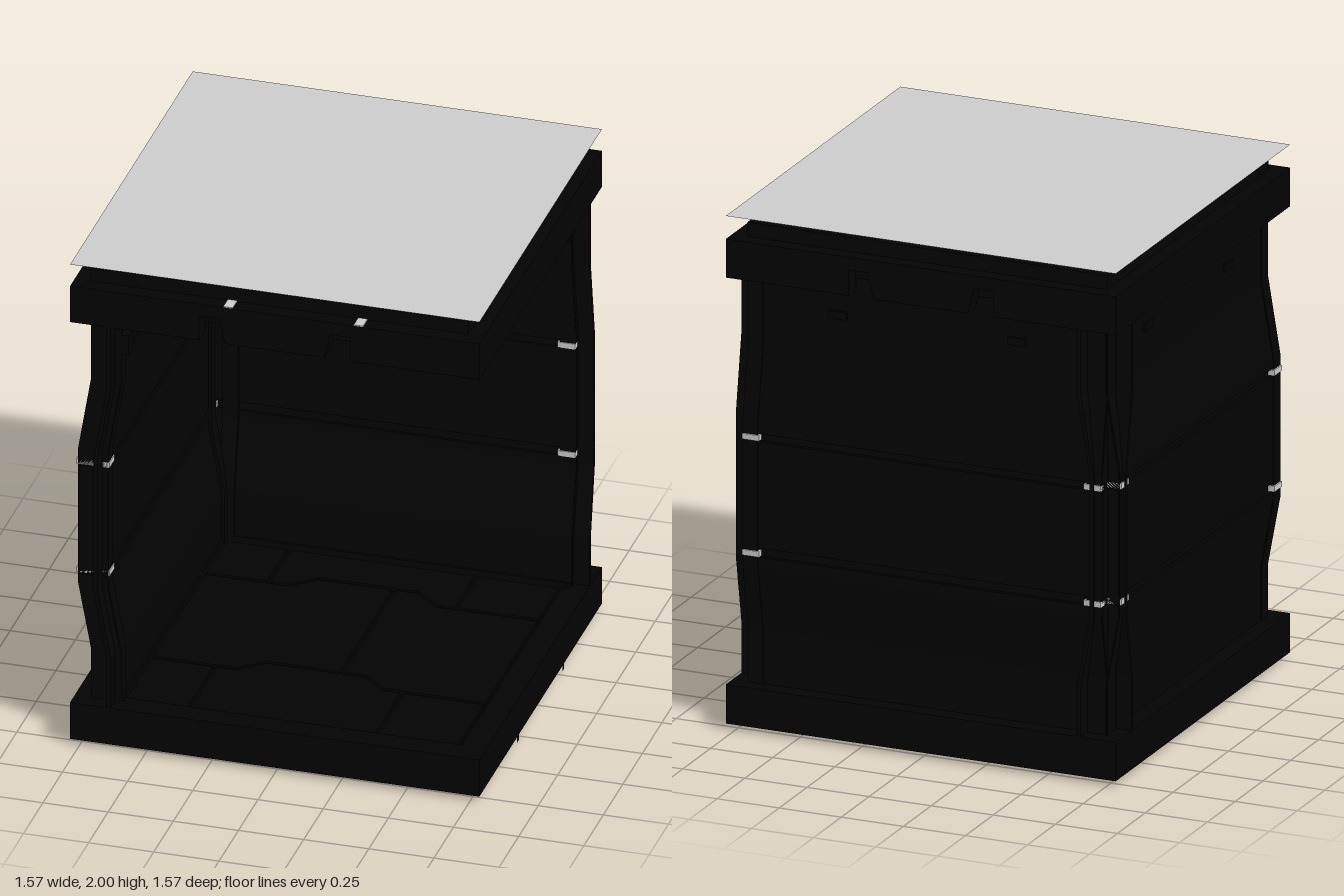
import * as THREE from 'three';

const dark = new THREE.MeshStandardMaterial({ color: 0x030303, flatShading: true });
const darkThin = new THREE.MeshStandardMaterial({ color: 0x030303, side: THREE.DoubleSide });
const grey = new THREE.MeshStandardMaterial({ color: 0xcccccc });
const greyThin = new THREE.MeshStandardMaterial({ color: 0xcccccc, side: THREE.DoubleSide });

function add(parent, name, geo, mat = dark) {
  const m = new THREE.Mesh(geo, mat);
  m.name = name;
  parent.add(m);
  return m;
}

// Box given by its min and max on each axis
function box(parent, name, [x0, x1], [y0, y1], [z0, z1], mat = dark) {
  const m = add(parent, name, new THREE.BoxGeometry(x1 - x0, y1 - y0, z1 - z0), mat);
  m.position.set((x0 + x1) / 2, (y0 + y1) / 2, (z0 + z1) / 2);
}

const outline = points => new THREE.Shape(points.map(p => new THREE.Vector2(...p)));
const extrude = (points, depth) =>
  new THREE.ExtrudeGeometry(outline(points), { depth, bevelEnabled: false });

// Bulge of the wall at height y, 0 at the ends and 0.05 in the middle
function bulge(y) {
  const t = y < 0.9 ? (y - 0.38) / 0.27 : (1.5 - y) / 0.3;
  return 0.05 * THREE.MathUtils.clamp(t, 0, 1);
}

const fullHeight = [0.1, 0.38, 0.65, 1.2, 1.5, 1.83];

// Upright slab following the bulge, from depth near to far, running along x
function slab(parent, name, x0, x1, near, far, heights = fullHeight) {
  const geo = extrude([
    ...heights.map(y => [far + bulge(y), y]),
    ...[...heights].reverse().map(y => [near + bulge(y), y]),
  ], x1 - x0);
  geo.rotateY(Math.PI / 2); // profile x becomes -z, extrusion becomes +x
  geo.translate(x0, 0, 0);
  add(parent, name, geo);
}

// Wall along x at the back; cornerSide is the end that meets the other wall
function makeWall(cornerSide) {
  const wall = new THREE.Group();
  // core that reaches past the panels at both ends
  slab(wall, 'wallCore', -0.785, 0.785, 0.63, 0.645);
  slab(wall, 'wallBody', -0.715, 0.715, 0.62, 0.705);
  // three panels with grooves between them
  slab(wall, 'lowerPanel', -0.725, 0.725, 0.61, 0.72, [0.15, 0.38, 0.65, 0.685]);
  slab(wall, 'middlePanel', -0.725, 0.725, 0.61, 0.72, [0.72, 1.135]);
  slab(wall, 'upperPanel', -0.725, 0.725, 0.61, 0.72, [1.165, 1.2, 1.5, 1.83]);
  // inner corner post
  const c = cornerSide * 0.6;
  slab(wall, 'cornerPost', c - 0.03, c + 0.03, 0.598, 0.63);
  for (const s of [-1, 1]) {
    // upright edge frames
    slab(wall, 'edgePost', s * 0.692 - 0.03, s * 0.692 + 0.03, 0.607, 0.724);
    // pale clips through the grooves
    for (const y of [0.698, 1.15]) {
      box(wall, 'grooveClip', [s * 0.688 - 0.034, s * 0.688 + 0.034], [y - 0.011, y + 0.011], [-0.78, -0.653], grey);
    }
    // rail brackets, inside and outside
    const x = s * 0.36;
    box(wall, 'railBracket', [x - 0.036, x + 0.036], [1.62, 1.7], [-0.62, -0.575]);
    box(wall, 'railEnd', [s * 0.69 - 0.03, s * 0.69 + 0.03], [1.62, 1.7], [-0.62, -0.58]);
    box(wall, 'outerBracket', [x - 0.036, x + 0.036], [1.64, 1.67], [-0.73, -0.71]);
  }
  // twin rails near the top
  for (const y of [1.635, 1.68]) box(wall, 'rail', [-0.7, 0.7], [y - 0.01, y + 0.01], [-0.605, -0.585]);
  // skirting strip
  box(wall, 'skirting', [-0.72, 0.72], [0.15, 0.19], [-0.72, -0.6]);
  return wall;
}

// Square frame lying flat, from y0 up to y1
function frame(parent, name, outer, inner, y0, y1) {
  const square = r => [[-r, -r], [r, -r], [r, r], [-r, r]];
  const shape = outline(square(outer));
  shape.holes.push(outline(square(inner)));
  const geo = new THREE.ExtrudeGeometry(shape, { depth: y1 - y0, bevelEnabled: false });
  geo.rotateX(-Math.PI / 2);
  geo.translate(0, y0, 0);
  add(parent, name, geo);
}

function makeFloor() {
  const floor = new THREE.Group();
  frame(floor, 'floorFrame', 0.785, 0.69, 0.023, 0.175);
  box(floor, 'floorSlab', [-0.7, 0.7], [0.06, 0.15], [-0.7, 0.7]);
  // tiles split by stepped seams; rows run from front to back
  const gap = 0.008;
  const rows = [-0.68, -0.34, 0.34, 0.68];
  const columns = [[-0.68, -0.36, 0.36, 0.68], [-0.68, 0.1, 0.68], [-0.68, -0.36, 0.36, 0.68]];
  const seam = (row, x) => rows[row] + (row % 3 && Math.abs(x) < 0.2 ? 0.08 : 0);
  columns.forEach((cuts, r) => {
    for (let i = 0; i < cuts.length - 1; i++) {
      const a = cuts[i] + gap, b = cuts[i + 1] - gap;
      const xs = [a, -0.28, -0.19, 0.19, 0.28, b].filter(x => x >= a && x <= b);
      const geo = extrude([
        ...xs.map(x => [x, seam(r, x) + gap]),
        ...[...xs].reverse().map(x => [x, seam(r + 1, x) - gap]),
      ], 0.015);
      geo.rotateX(-Math.PI / 2);
      geo.translate(0, 0.15, 0);
      add(floor, 'floorTile', geo);
    }
  });
  // paper-thin pegs below the open side
  for (const z of [-0.29, 0.29]) {
    const peg = add(floor, 'peg', new THREE.PlaneGeometry(0.02, 0.17), darkThin);
    peg.rotation.y = Math.PI / 2;
    peg.position.set(0.785, 0.085, z);
  }
  return floor;
}

function makeCeiling() {
  const ceiling = new THREE.Group();
  box(ceiling, 'ceilingSlab', [-0.725, 0.725], [1.81, 1.965], [-0.725, 0.725]);
  // front and back lips, notched from below
  const half = [[0.19, 1.76], [0.215, 1.86], [0.29, 1.86], [0.29, 1.76], [0.785, 1.76], [0.785, 1.91]];
  const lip = [...half, ...[...half].reverse().map(([x, y]) => [-x, y])];
  for (const s of [-1, 1]) {
    const geo = extrude(lip, 0.09);
    geo.translate(0, 0, s > 0 ? 0.695 : -0.785);
    add(ceiling, 'ceilingLip', geo);
    box(ceiling, 'ceilingSide', [s * 0.74 - 0.045, s * 0.74 + 0.045], [1.76, 1.91], [-0.7, 0.7]);
    // paper-thin tabs reaching up to the roof sheet
    for (const m of [-1, 1]) {
      const tab = [[0.2, 1.95], [0.225, 1.998], [0.285, 1.998], [0.285, 1.95]].map(([x, y]) => [x * m, y]);
      add(ceiling, 'roofTab', new THREE.ShapeGeometry(outline(tab)), darkThin).position.z = s * 0.727;
    }
  }
  // pale strips on the front lip
  for (const x of [-0.18, 0.32]) box(ceiling, 'paleStrip', [x - 0.018, x + 0.018], [1.905, 1.914], [0.7, 0.783], grey);
  return ceiling;
}

export function createModel() {
  const model = new THREE.Group();
  model.name = 'cornerModule';
  const parts = { floor: makeFloor(), ceiling: makeCeiling(), backWall: makeWall(-1), sideWall: makeWall(1) };
  parts.sideWall.rotation.y = Math.PI / 2;
  for (const [name, part] of Object.entries(parts)) {
    part.name = name;
    model.add(part);
  }
  // roof sheet
  const roof = add(model, 'roofSheet', new THREE.PlaneGeometry(1.57, 1.57), greyThin);
  roof.rotation.x = -Math.PI / 2;
  roof.position.y = 2;
  return model;
}
